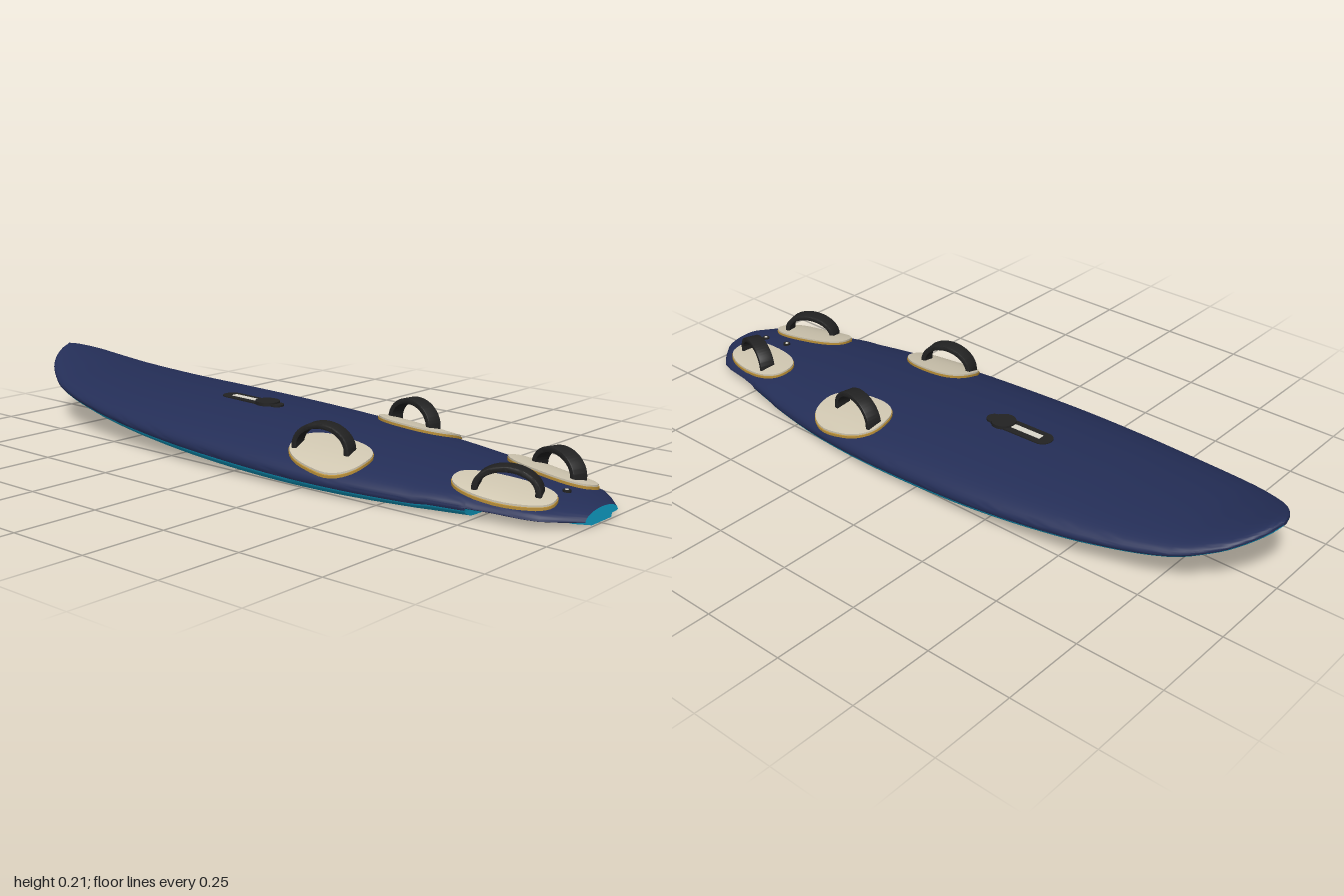
import * as THREE from 'three';
import { toCreasedNormals } from 'three/addons/utils/BufferGeometryUtils.js';

const material = (name, color, side = THREE.FrontSide) => {
  const m = new THREE.MeshStandardMaterial({ color, side });
  m.name = name;
  return m;
};

// Board stations: z, half width, bottom height, deck height
const STATIONS = [
  [-1, 0.008, 0.196, 0.209], [-0.985, 0.05, 0.182, 0.207], [-0.95, 0.102, 0.16, 0.197],
  [-0.9, 0.146, 0.134, 0.183], [-0.8, 0.2, 0.1, 0.163], [-0.6, 0.247, 0.065, 0.148],
  [-0.4, 0.275, 0.042, 0.142], [-0.2, 0.29, 0.025, 0.137], [0, 0.293, 0.012, 0.131],
  [0.2, 0.29, 0.005, 0.12], [0.4, 0.274, 0.003, 0.106], [0.6, 0.238, 0.003, 0.091],
  [0.8, 0.187, 0.003, 0.073], [0.92, 0.158, 0.004, 0.058], [1, 0.077, 0.005, 0.043],
];

// Smooth interpolation of one station column along z
function along(z, col) {
  const S = STATIONS, last = S.length - 1;
  let i = 0;
  while (i < last - 1 && z > S[i + 1][0]) i++;
  const slope = (k) => {
    const a = S[Math.max(k - 1, 0)], b = S[Math.min(k + 1, last)];
    return (b[col] - a[col]) / (b[0] - a[0]);
  };
  const d = S[i + 1][0] - S[i][0], t = (z - S[i][0]) / d, t2 = t * t, t3 = t2 * t;
  return S[i][col] * (2 * t3 - 3 * t2 + 1) + slope(i) * d * (t3 - 2 * t2 + t)
    + S[i + 1][col] * (3 * t2 - 2 * t3) + slope(i + 1) * d * (t3 - t2);
}

function section(z) {
  const w = along(z, 1), yb = along(z, 2), yt = along(z, 3);
  return { w, yb, yt, seam: yb + (yt - yb) * (z > 0.6 ? 0.36 : 0.3) };
}

function deckY(x, z) {
  const { w, yt, seam } = section(z);
  return seam + (yt - seam) * Math.sqrt(Math.max(0, 1 - (x / w) ** 2));
}

// Joins closed rows of points into an indexed surface, column by column
function skin(rows) {
  const n = rows[0].length, index = [];
  for (let j = 0; j < n; j++) {
    const k = (j + 1) % n;
    for (let i = 0; i < rows.length - 1; i++) {
      const a = i * n + j, b = i * n + k, c = b + n, d = a + n;
      index.push(a, b, c, a, c, d);
    }
  }
  const geo = new THREE.BufferGeometry();
  geo.setAttribute('position', new THREE.Float32BufferAttribute(rows.flat(2), 3));
  geo.setIndex(index);
  return geo;
}

const RAIL = 6, DOME = 16, SEAM = 3 + RAIL;

// Closed cross-section: flat bottom with tail cutouts, rounded rail, domed deck
function ring(z) {
  const { w, yb, yt, seam } = section(z);
  const rail = Math.min(0.05, 0.3 * w), flat = w - rail;
  const strip = Math.min(0.065, flat * 0.85);
  const lift = z > 0.737 ? Math.min(0.022, 0.8 * (seam - yb)) : 0;
  const half = [[0, yb], [strip, yb], [strip + 0.06 * flat, yb + lift]];
  for (let k = 0; k <= RAIL; k++) {
    const a = (k / RAIL) * Math.PI / 2;
    half.push([flat + rail * Math.sin(a), seam - (seam - yb - lift) * Math.cos(a)]);
  }
  for (let k = 1; k <= DOME; k++) {
    const a = (k / DOME) * Math.PI / 2;
    half.push([k === DOME ? 0 : w * Math.cos(a), seam + (yt - seam) * Math.sin(a)]);
  }
  const mirrored = half.slice(1, -1).reverse().map(([x, y]) => [-x, y]);
  return [...half, ...mirrored].map(([x, y]) => [x, y, z]);
}

// Rounded pad that follows the curve of the deck
function padGeometry(p, s, grow, y0, y1) {
  const at = (r, a, y) => {
    const sq = (v) => Math.sign(v) * Math.abs(v) ** 0.8;
    const u = sq(Math.cos(a)) * (p.rx + grow) * r, v = sq(Math.sin(a)) * (p.rz + grow) * r;
    const x = s * p.x + u * Math.cos(s * p.turn) + v * Math.sin(s * p.turn);
    const z = p.z - u * Math.sin(s * p.turn) + v * Math.cos(s * p.turn);
    return [x, deckY(x, z) + y, z];
  };
  const rows = [[0.001, y1], [0.25, y1], [0.5, y1], [0.75, y1], [0.9, y1], [1, y1], [1, y0]].map(([r, y]) =>
    Array.from({ length: 40 }, (_, j) => at(r, (j / 40) * Math.PI * 2, y)));
  return toCreasedNormals(skin(rows), 0.7);
}

// Arched foot strap running along z
function strapGeometry(length, height, width) {
  const shape = new THREE.Shape();
  const t = 0.016, r = length / 2;
  shape.moveTo(r, -0.02);
  shape.lineTo(r, 0);
  shape.absellipse(0, 0, r, height, 0, Math.PI, false, 0);
  shape.lineTo(-r, -0.02);
  shape.lineTo(-r + t, -0.02);
  shape.absellipse(0, 0, r - t, height - t, Math.PI, 0, true, 0);
  shape.lineTo(r - t, -0.02);
  const b = 0.004;
  const geo = new THREE.ExtrudeGeometry(shape, {
    depth: width - 2 * b, bevelThickness: b, bevelSize: b, bevelOffset: -b, bevelSegments: 2, curveSegments: 24,
  });
  geo.translate(0, 0, -width / 2 + b);
  geo.rotateY(Math.PI / 2);
  return toCreasedNormals(geo, 0.6);
}

export function createModel() {
  const navy = material('navy deck', 0x242e57);
  const teal = material('teal hull', 0x10a3cc);
  const cream = material('cream pad', 0xcfc6b0);
  const gold = material('gold pad edge', 0xb98f38);
  const black = material('black fittings', 0x222222);
  const pale = material('pale inserts', 0xdcd8cc);
  const model = new THREE.Group();
  const add = (name, geo, mat, x = 0, y = 0, z = 0, parent = model) => {
    const mesh = new THREE.Mesh(geo, mat);
    mesh.name = name;
    mesh.position.set(x, y, z);
    parent.add(mesh);
    return mesh;
  };

  // Hull: teal underside and navy deck
  const zs = [0.735, 0.739];
  for (let i = 0; i <= 16; i++) zs.push(-1 + 0.2 * (i / 16) ** 2);
  for (let i = 1; i <= 45; i++) zs.push(-0.8 + 1.8 * i / 45);
  zs.sort((a, b) => a - b);
  const rows = zs.map(ring);
  const hull = skin(rows);
  const perColumn = (rows.length - 1) * 6, n = rows[0].length, low = SEAM - 1;
  hull.addGroup(0, low * perColumn, 0);
  hull.addGroup(low * perColumn, (n - 2 * low) * perColumn, 1);
  hull.addGroup((n - low) * perColumn, low * perColumn, 0);
  add('hull', toCreasedNormals(hull, 0.6), [teal, navy]);

  // Flat ends
  const endShape = (z) => new THREE.ShapeGeometry(new THREE.Shape(ring(z).map(([x, y]) => new THREE.Vector2(x, y))));
  add('tailFace', endShape(1), teal, 0, 0, 1);
  add('noseTip', endShape(-1).rotateY(Math.PI), navy, 0, 0, -1);

  // Foot pads and straps, two per side
  const pads = [
    { name: 'front', x: 0.195, z: 0.302, rx: 0.08, rz: 0.125, turn: 0.06, strapX: 0.198, strapTurn: -0.19, strapZ: 0.28, rise: 0.07 },
    { name: 'rear', x: 0.112, z: 0.79, rx: 0.064, rz: 0.138, turn: -0.16, strapX: 0.118, strapTurn: -0.36, strapZ: 0.805, rise: 0.062 },
  ];
  for (const p of pads) for (const s of [1, -1]) {
    const group = new THREE.Group();
    group.name = p.name + (s > 0 ? 'LeftFootPad' : 'RightFootPad');
    model.add(group);
    add('padEdge', padGeometry(p, s, 0, -0.006, 0.007), gold, 0, 0, 0, group);
    add('padTop', padGeometry(p, s, -0.002, 0.006, 0.012), cream, 0, 0, 0, group);
    const strap = add('footStrap', strapGeometry(0.175, p.rise, 0.046), black,
      s * p.strapX, deckY(p.strapX, p.strapZ) + 0.012, p.strapZ, group);
    strap.rotation.y = s * p.strapTurn;
  }

  // Mast track with sliding base
  const track = new THREE.Shape();
  track.absarc(0, 0.075, 0.03, 0, Math.PI, false);
  track.absarc(0, -0.075, 0.03, Math.PI, Math.PI * 2, false);
  const trackGeo = new THREE.ExtrudeGeometry(track, { depth: 0.008, bevelEnabled: false }).rotateX(-Math.PI / 2);
  const mast = new THREE.Group();
  mast.name = 'mastTrack';
  mast.position.set(0, deckY(0, -0.17) - 0.005, -0.17);
  mast.rotation.x = 0.02;
  model.add(mast);
  add('trackFrame', trackGeo, black, 0, 0, 0, mast);
  add('trackSlot', new THREE.BoxGeometry(0.02, 0.004, 0.11), pale, 0, 0.0075, -0.015, mast);
  add('mastBase', new THREE.CylinderGeometry(0.036, 0.036, 0.016, 24), black, 0, 0.006, 0.065, mast);
  add('mastBaseTip', new THREE.CylinderGeometry(0.022, 0.022, 0.011, 20), black, 0, 0.004, 0.1, mast);

  // Fin bolts on the tail deck, fin box below
  for (const z of [0.8, 0.9]) {
    const y = deckY(0, z);
    add('finBolt', new THREE.CylinderGeometry(0.011, 0.011, 0.01, 16), black, 0, y, z);
    add('finBoltHead', new THREE.CylinderGeometry(0.005, 0.005, 0.004, 12), pale, 0, y + 0.004, z);
  }
  add('finBox', new THREE.BoxGeometry(0.026, 0.006, 0.18), black, 0, 0.004, 0.84);
  return model;
}
